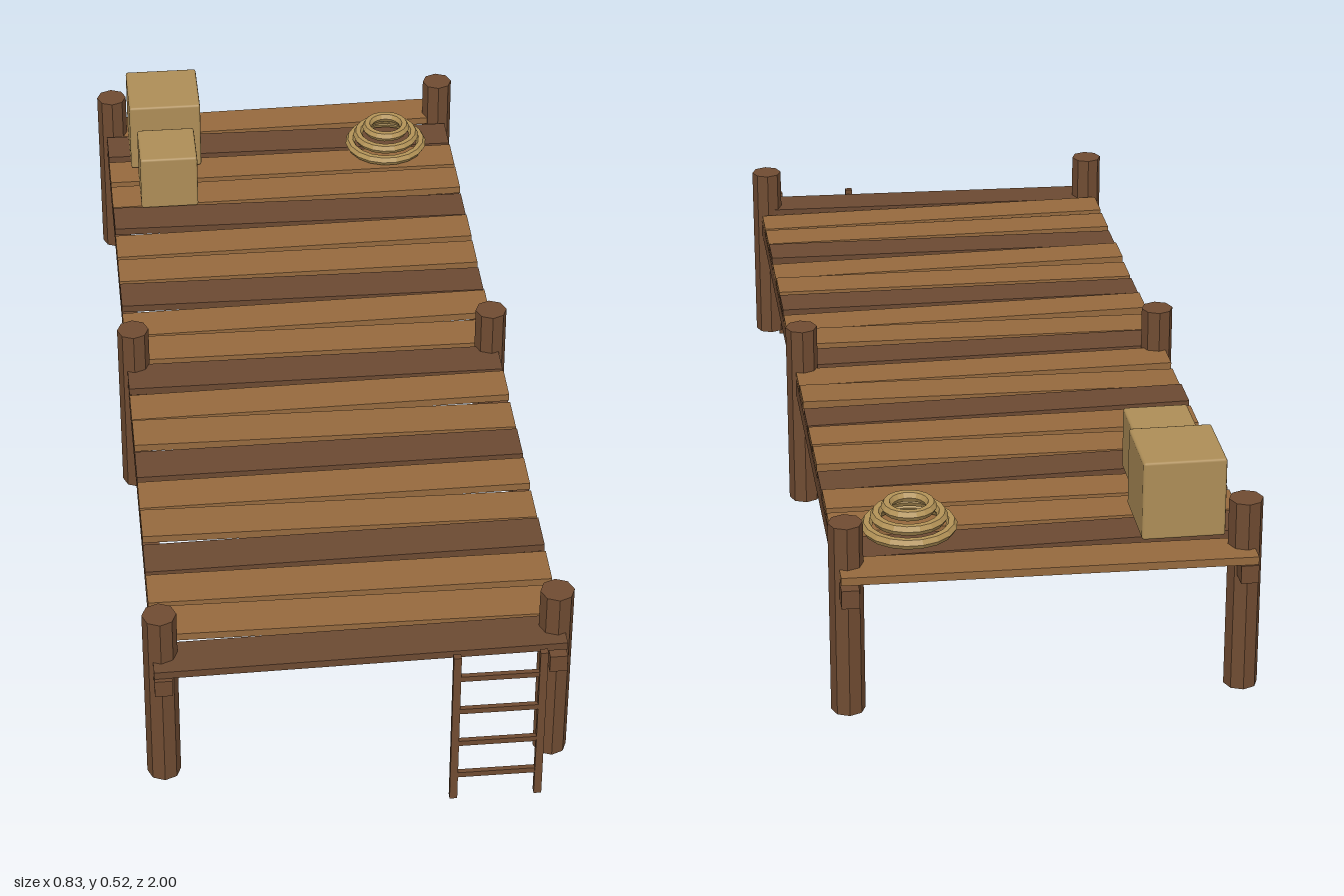
import * as THREE from 'three';
import { RoundedBoxGeometry } from 'three/addons/geometries/RoundedBoxGeometry.js';

function material(name, color) {
  const m = new THREE.MeshStandardMaterial({ color });
  m.name = name;
  return m;
}

export function createModel() {
  const root = new THREE.Group();
  root.name = 'dock';
  const lightWood = material('light plank wood', 0x966a3e);
  const darkWood = material('dark plank wood', 0x6c4a32);
  const postWood = material('post wood', 0x704c32);
  const crateWood = material('crate wood', 0xae8e57);
  const rope = material('rope', 0xb39357);
  postWood.flatShading = true;
  rope.flatShading = true;

  function add(parent, name, geometry, mat, x, y, z) {
    const mesh = new THREE.Mesh(geometry, mat);
    mesh.name = name;
    mesh.position.set(x, y, z);
    parent.add(mesh);
    return mesh;
  }
  function group(name) {
    const g = new THREE.Group();
    g.name = name;
    root.add(g);
    return g;
  }

  // Deck: slightly tilted planks, every third one dark
  const deck = group('deck');
  const plank = new THREE.BoxGeometry(0.79, 0.016, 0.085);
  const count = 20;
  for (let i = 0; i < count; i++) {
    const mat = i % 3 === 1 ? darkWood : lightWood;
    const p = add(deck, 'plank', plank, mat, 0, 0.347, -0.955 + i * 0.0992);
    p.rotation.z = 0.013 * Math.cos((count - 1 - i) * 2.3);
  }

  // Side beams and octagonal posts
  const frame = group('frame');
  const beam = new THREE.BoxGeometry(0.034, 0.037, 1.98);
  const post = new THREE.CylinderGeometry(0.033, 0.033, 0.395, 8);
  for (const side of [-1, 1]) {
    add(frame, 'beam', beam, postWood, side * 0.378, 0.315, -0.01);
    for (const z of [-0.935, -0.01, 0.915]) {
      add(frame, 'post', post, postWood, side * 0.38, 0.2475, z);
    }
  }

  // Ladder at the front end
  const ladder = group('ladder');
  for (const x of [0.18, 0.346]) {
    add(ladder, 'rail', new THREE.BoxGeometry(0.015, 0.362, 0.013), postWood, x, 0.181, 0.9935);
  }
  for (let i = 0; i < 4; i++) {
    add(ladder, 'rung', new THREE.BoxGeometry(0.166, 0.012, 0.01), postWood, 0.263, 0.06 + i * 0.0825, 0.9935);
  }

  // Crates with narrow chamfers
  const crates = group('crates');
  for (const [size, x, z] of [[0.161, -0.265, -0.84], [0.128, -0.267, -0.657]]) {
    add(crates, 'crate', new RoundedBoxGeometry(size, size, size, 1, 0.005), crateWood, x, 0.36 + size / 2, z);
  }

  // Coiled rope: three shrinking rings
  const coil = group('ropeCoil');
  [0.082, 0.064, 0.043].forEach((radius, i) => {
    const ring = add(coil, 'ropeRing', new THREE.TorusGeometry(radius, 0.011, 6, 18), rope, 0.246, 0.368 + i * 0.02, -0.808);
    ring.rotation.x = -Math.PI / 2;
  });

  return root;
}
